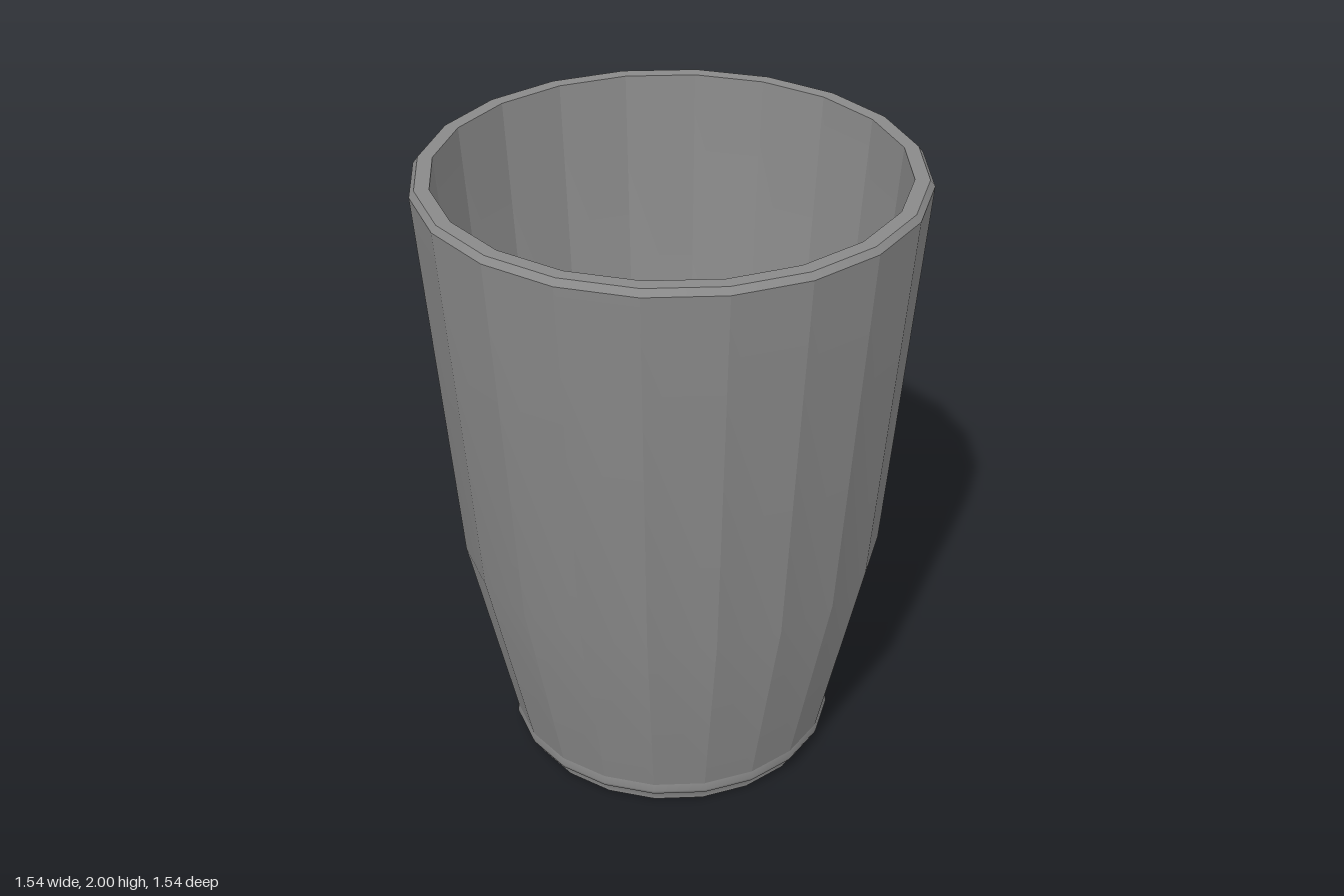
import * as THREE from 'three';
import { mergeGeometries, toCreasedNormals } from 'three/addons/utils/BufferGeometryUtils.js';

const SIDES = 20;

function lathe(profile) {
  return new THREE.LatheGeometry(profile.map(([r, y]) => new THREE.Vector2(r, y)), SIDES);
}

// Crisp vertical facets, soft bends along the profile
const faceted = (profile) => toCreasedNormals(lathe(profile), 0.25);

// Smooth all the way round, for small rounded bands
const rounded = (profile) => lathe(profile).toNonIndexed();

export function createModel() {
  const group = new THREE.Group();
  group.name = 'cup';
  const material = new THREE.MeshStandardMaterial({ color: 0x8a8a8a });

  function add(name, geometry) {
    const mesh = new THREE.Mesh(geometry, material);
    mesh.name = name;
    group.add(mesh);
  }

  // Closed underside
  add('underside', faceted([[0, 0], [0.49, 0]]));

  // Outer shell: rounded foot, two-taper wall and softened lip in one skin
  add('outerShell', mergeGeometries([
    rounded([[0.49, 0], [0.491, 0.024], [0.505, 0.037], [0.52, 0.047], [0.525, 0.06], [0.522, 0.085]]),
    faceted([[0.522, 0.085], [0.667, 0.74], [0.772, 1.98]]),
    rounded([[0.772, 1.98], [0.757, 2]]),
  ]));

  // Flat top of the rim
  add('rim', faceted([[0.757, 2], [0.712, 2]]));

  // Inner wall, running down to the floor
  add('innerWall', faceted([[0.712, 2], [0.612, 0.76], [0.5, 0.14]]));
  add('innerFloor', faceted([[0.5, 0.14], [0, 0.14]]));

  return group;
}
